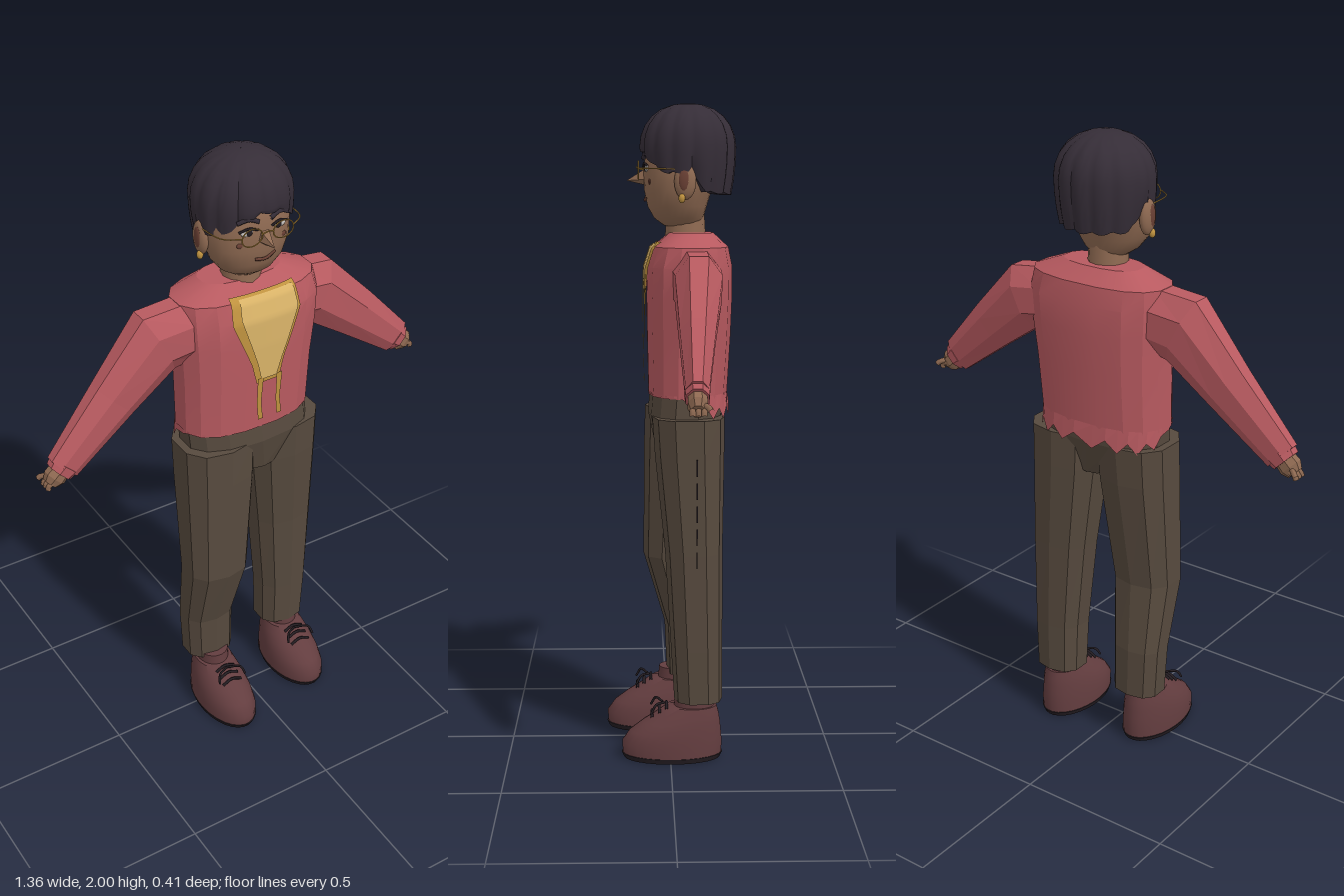
import * as THREE from 'three';
import { toCreasedNormals } from 'three/addons/utils/BufferGeometryUtils.js';

const mat = (name, color) => Object.assign(new THREE.MeshStandardMaterial({ color }), { name });
const M = {
  sweater: mat('sweater red', 0xb85a60), trousers: mat('trouser brown', 0x574a3e),
  skin: mat('skin', 0x8f6a52), hair: mat('hair black', 0x352d37),
  shoe: mat('shoe maroon', 0x633d3f), sole: mat('sole dark', 0x241d22),
  gold: mat('gold trim', 0xbf923f), shirt: mat('shirt yellow', 0xd9b368),
  white: mat('eye white', 0xc9c4c0), blush: mat('lip brown', 0x6a4034),
};
M.shirt.side = M.gold.side = M.hair.side = M.sweater.side = THREE.DoubleSide;

// Skin rings of points into a closed tube; crease 0 = faceted, null = smooth
function loft(rings, crease = 0, capped = true) {
  const n = rings[0].length, pos = rings.flat(2), idx = [];
  for (let i = 0; i < rings.length - 1; i++) for (let j = 0; j < n; j++) {
    const a = i * n + j, b = i * n + (j + 1) % n;
    idx.push(a, a + n, b, b, a + n, b + n);
  }
  if (capped) for (const [i, flip] of [[0, false], [rings.length - 1, true]]) {
    const c = pos.length / 3;
    for (let k = 0; k < 3; k++) pos.push(rings[i].reduce((s, p) => s + p[k], 0) / n);
    for (let j = 0; j < n; j++) {
      const a = i * n + j, b = i * n + (j + 1) % n;
      idx.push(c, ...(flip ? [b, a] : [a, b]));
    }
  }
  const g = new THREE.BufferGeometry();
  g.setAttribute('position', new THREE.Float32BufferAttribute(pos, 3));
  g.setIndex(idx);
  if (crease === null) { g.computeVertexNormals(); return g; }
  if (crease > 0) return toCreasedNormals(g, crease);
  const flat = g.toNonIndexed();
  flat.computeVertexNormals();
  return flat;
}
const pw = (v, p) => Math.sign(v) * Math.abs(v) ** p;
// Level ring from its bounds: [y, x0, x1, z0, z1]
const ring = ([y, x0, x1, z0, z1], n = 12, p = 0.8) => Array.from({ length: n }, (_, j) => {
  const a = (j + 0.5) / n * Math.PI * 2;
  return [(x0 + x1) / 2 + (x1 - x0) / 2 * pw(Math.cos(a), p), y, (z0 + z1) / 2 + (z1 - z0) / 2 * pw(Math.sin(a), p)];
});
// Piecewise linear lookup in rows sorted by their first value
function lookup(rows, t) {
  let i = 0;
  while (i < rows.length - 2 && t > rows[i + 1][0]) i++;
  const k = THREE.MathUtils.clamp((t - rows[i][0]) / (rows[i + 1][0] - rows[i][0]), 0, 1);
  return rows[i].map((v, c) => THREE.MathUtils.lerp(v, rows[i + 1][c], k));
}

const TORSO = [[1.12, -0.2, 0.24, -0.178, 0.066], [1.3, -0.2, 0.252, -0.188, 0.07], [1.42, -0.205, 0.268, -0.192, 0.072],
  [1.51, -0.21, 0.275, -0.192, 0.07], [1.57, -0.205, 0.262, -0.18, 0.05], [1.612, -0.115, 0.155, -0.135, 0.0]];
const torsoFront = (x, y) => {
  const [, x0, x1, z0, z1] = lookup(TORSO, y);
  const u = Math.min(1, Math.abs((x - (x0 + x1) / 2) / ((x1 - x0) / 2)));
  return (z0 + z1) / 2 + (z1 - z0) / 2 * (1 - u ** 2.5) ** 0.4;
};
// Thin cloth lying on the chest; rows are [y, x0, x1] from the bottom up
function cloth(rows, lift) {
  const g = new THREE.PlaneGeometry(1, 1, 10, 24), p = g.attributes.position;
  const y0 = rows[0][0], y1 = rows[rows.length - 1][0];
  for (let i = 0; i < p.count; i++) {
    const [y, a, b] = lookup(rows, THREE.MathUtils.lerp(y0, y1, p.getY(i) + 0.5));
    const x = THREE.MathUtils.lerp(a, b, p.getX(i) + 0.5);
    p.setXYZ(i, x, y, torsoFront(x, y) + lift);
  }
  g.computeVertexNormals();
  return g;
}
const tube = (pts, r, seg = 10) => new THREE.TubeGeometry(new THREE.CatmullRomCurve3(pts.map(p => new THREE.Vector3(...p))), seg, r, 5);

export function createModel() {
  const model = new THREE.Group();
  const add = (name, geo, material, pos = [0, 0, 0], scale = [1, 1, 1]) => {
    const m = new THREE.Mesh(geo, material);
    m.name = name;
    m.position.set(...pos);
    m.scale.set(...scale);
    model.add(m);
    return m;
  };
  const ball = new THREE.SphereGeometry(1, 16, 12);

  // Sweater body with a ragged hem hanging lower at the back
  add('sweaterBody', loft(TORSO.map(r => ring(r, 16)), 0.3), M.sweater);
  const hemTop = ring([1.13, -0.2, 0.24, -0.178, 0.066], 32);
  const hem = hemTop.map(([x, y, z], j) => {
    const back = THREE.MathUtils.smoothstep(-z, 0.0, 0.14);
    return [x, 1.125 - back * (j % 2 ? 0.07 : 0.035), z - back * 0.006];
  });
  add('sweaterHem', loft([hem, hemTop], 0, false), M.sweater);

  // Yellow shirt front, its gold edge and two hanging laces
  add('shirtTrim', cloth([[1.29, -0.005, 0.075], [1.36, -0.022, 0.092], [1.51, -0.082, 0.153], [1.585, -0.075, 0.146]], 0.006), M.gold);
  add('shirtFront', cloth([[1.305, 0.008, 0.062], [1.36, -0.004, 0.08], [1.52, -0.055, 0.142], [1.58, -0.05, 0.136]], 0.011), M.shirt);
  for (const x of [0.003, 0.07]) {
    add('lace', cloth([[1.16, x - 0.005, x + 0.012], [1.22, x - 0.01, x + 0.005], [1.31, x - 0.008, x + 0.012]], 0.012), M.gold);
  }

  // Sleeves, cuffs and hands: c = [x, y, z, half width, half depth] from shoulder to wrist
  const arm = (side, c) => {
    const dir = new THREE.Vector2(c[3][0] - c[1][0], c[3][1] - c[1][1]).normalize();
    const section = ([x, y, z, w, d], tilt = dir) => Array.from({ length: 8 }, (_, j) => {
      const a = (j + 0.5) / 8 * Math.PI * 2, k = Math.cos(a) * w * 1.07;
      return [x + tilt.y * k, y - tilt.x * k, z + Math.sin(a) * d * 1.07];
    });
    const flat = new THREE.Vector2(side, -0.15).normalize(), half = flat.clone().add(dir).normalize();
    const tilts = [flat, half, dir, dir];
    add(side > 0 ? 'leftSleeve' : 'rightSleeve', loft(c.map((r, i) => section(r, tilts[i]))), M.sweater);
    const e = c[3], at = t => [e[0] + dir.x * t, e[1] + dir.y * t, e[2]];
    add('cuff', loft([section([...at(-0.012), e[3] * 0.9, e[4] * 1.1]), section([...at(0.018), e[3] * 0.78, e[4]])]), M.sweater);
    add('hand', loft([section([...at(0.0), 0.032, 0.026]), section([...at(0.04), 0.036, 0.028]), section([...at(0.062), 0.024, 0.02])]), M.skin);
    const h = at(0.05);
    for (let i = 0; i < 3; i++) {
      const z = h[2] - 0.018 + i * 0.016;
      add('finger', tube([[h[0], h[1], z], [h[0] + side * 0.018, h[1] - 0.008, z], [h[0] + side * 0.022, h[1] - 0.02, z]], 0.009, 4), M.skin);
    }
    add('thumb', tube([[h[0] - side * 0.01, h[1] + 0.01, h[2]], [h[0] + side * 0.02, h[1] + 0.004, h[2] - 0.03], [h[0] + side * 0.03, h[1] - 0.005, h[2] - 0.036]], 0.009, 5), M.skin);
  };
  arm(-1, [[-0.16, 1.475, -0.06, 0.098, 0.075], [-0.272, 1.46, -0.063, 0.112, 0.07], [-0.42, 1.312, -0.06, 0.083, 0.052], [-0.602, 1.14, -0.05, 0.056, 0.035]]);
  arm(1, [[0.2, 1.47, -0.075, 0.098, 0.075], [0.3, 1.455, -0.08, 0.105, 0.07], [0.45, 1.325, -0.072, 0.08, 0.052], [0.612, 1.182, -0.065, 0.055, 0.033]]);

  // Trousers
  add('trouserSeat', loft([[0.94, -0.02, 0.115, -0.13, 0.04], [1.06, -0.19, 0.24, -0.164, 0.066], [1.135, -0.195, 0.236, -0.168, 0.06]].map(r => ring(r, 14))), M.trousers);
  add('rightTrouserLeg', loft([[0.185, -0.197, -0.03, -0.135, 0.005], [0.35, -0.205, -0.03, -0.135, 0.012], [0.58, -0.215, -0.003, -0.11, 0.08],
    [0.94, -0.216, 0.032, -0.155, 0.078], [1.065, -0.216, 0.04, -0.163, 0.074]].map(r => ring(r, 10))), M.trousers);
  add('leftTrouserLeg', loft([[0.185, 0.105, 0.268, -0.16, -0.012], [0.35, 0.1, 0.275, -0.16, -0.002], [0.65, 0.072, 0.282, -0.16, 0.016],
    [0.94, 0.036, 0.282, -0.165, 0.046], [1.06, 0.03, 0.282, -0.166, 0.054]].map(r => ring(r, 10))), M.trousers);
  for (let i = 0; i < 5; i++) add('sideSeam', new THREE.BoxGeometry(0.004, 0.05, 0.004), M.sole, [0.281, 0.64 + i * 0.07, -0.078]);

  // Shoes, soles, socks and laces
  for (const [side, x, z, len] of [['left', 0.19, 0, 1], ['right', -0.115, 0.045, 1.03]]) {
    const r = (y, z0, z1, h) => ring([y, x - h, x + h, z + z0 * len, z + z1 * len], 28, 1);
    add(side + 'Shoe', loft([r(0.012, -0.157, 0.147, 0.087), r(0.05, -0.16, 0.15, 0.087), r(0.085, -0.157, 0.125, 0.083), r(0.115, -0.154, 0.085, 0.077),
      r(0.14, -0.15, 0.045, 0.069), r(0.165, -0.143, 0.01, 0.06)], 0.9), M.shoe);
    add(side + 'Sole', loft([r(0, -0.153, 0.143, 0.084), r(0.016, -0.161, 0.151, 0.089)], 0.5), M.sole);
    add(side + 'Sock', loft([r(0.15, -0.135, -0.01, 0.052), r(0.2, -0.135, -0.015, 0.052)], 0.5), M.shoe);
    for (let i = 0; i < 3; i++) {
      const zz = z + 0.012 + i * 0.022, y = 0.172 - i * 0.013;
      add('shoelace', tube([[x - 0.035, y - 0.014, zz], [x, y, zz], [x + 0.035, y - 0.014, zz]], 0.005), M.sole);
    }
    for (const s of [-1, 1]) add('laceBow', tube([[x, 0.17, z + 0.02], [x + s * 0.04, 0.175, z + 0.045], [x + s * 0.05, 0.15, z + 0.06]], 0.004), M.sole);
  }

  // Neck and head
  const cx = 0.018;
  add('neck', new THREE.CylinderGeometry(0.058, 0.064, 0.1, 12), M.skin, [cx, 1.625, -0.05]);
  add('head', loft([[1.632, -0.035, 0.07, -0.09, 0.015], [1.655, -0.068, 0.104, -0.105, 0.046], [1.69, -0.095, 0.13, -0.115, 0.066], [1.74, -0.112, 0.148, -0.13, 0.077],
    [1.8, -0.118, 0.154, -0.15, 0.079], [1.87, -0.11, 0.146, -0.16, 0.07], [1.93, -0.07, 0.106, -0.13, 0.03]].map(r => ring(r, 28, 0.95)), null), M.skin);

  // Hair: a dome of swept locks with a raised fringe, longer at the back
  const edge = [[-1, 1.725], [-0.4, 1.73], [-0.05, 1.79], [0.45, 1.785], [0.75, 1.81], [1, 1.855]];
  const hairRow = (t, tuck = 1) => Array.from({ length: 96 }, (_, j) => {
    const a = j / 96 * Math.PI * 2, f = Math.sin(a);
    const lock = 1 - 0.06 * (1 - Math.abs(Math.sin(a * 7 + 0.6)) ** 0.6);
    const low = lookup(edge, f)[1] + (1 - Math.abs(Math.sin(a * 7 + 0.6))) * 0.008;
    const dome = Math.max(0, (t - 0.4) / 0.6) * Math.PI / 2;
    const y = t < 0.4 ? THREE.MathUtils.lerp(low, 1.87, t / 0.4) : 1.87 + Math.sin(dome) * 0.13;
    const r = Math.cos(dome) ** 0.85 * lock * tuck * (t < 0.4 ? 1 - 0.1 * (1 - t / 0.4) ** 2 * (f < 0 ? 1 : 0.25) : 1);
    return [0.022 + Math.cos(a) * 0.154 * r, y, -0.056 + f * (f > 0 ? 0.147 : 0.15) * r];
  });
  add('hair', loft([hairRow(0, 0.75), ...[0, 0.13, 0.26, 0.4, 0.5, 0.6, 0.7, 0.8, 0.9, 0.96, 0.999].map(t => hairRow(t))], 0.7, false), M.hair);

  // Face details, mirrored about the head centre
  for (const s of [-1, 1]) {
    add('ear', ball, M.skin, [cx + s * 0.137, 1.765, -0.045], [0.019, 0.055, 0.033]);
    add('innerEar', ball, M.blush, [cx + s * 0.15, 1.768, -0.042], [0.007, 0.034, 0.017]);
    add('earring', ball, M.gold, [cx + s * 0.147, 1.715, -0.035], [0.01, 0.014, 0.01]);
    add('eyeWhite', ball, M.white, [cx + s * 0.05, 1.806, 0.069], [0.025, 0.012, 0.006]);
    add('iris', ball, M.sole, [cx + s * 0.048, 1.806, 0.073], [0.01, 0.011, 0.005]);
    add('eyelid', tube([[cx + s * 0.022, 1.81, 0.078], [cx + s * 0.05, 1.82, 0.076], [cx + s * 0.08, 1.81, 0.066]], 0.004), M.sole);
    add('brow', tube([[cx + s * 0.02, 1.836, 0.078], [cx + s * 0.05, 1.848, 0.074], [cx + s * 0.083, 1.838, 0.062]], 0.007), M.hair);
    add('glassesRim', new THREE.TorusGeometry(0.034, 0.0022, 5, 24), M.gold, [cx + s * 0.052, 1.8, 0.094], [1, 0.8, 1]);
    add('glassesArm', tube([[cx + s * 0.086, 1.805, 0.094], [cx + s * 0.13, 1.803, 0.06], [cx + s * 0.145, 1.8, -0.04]], 0.002), M.gold);
    add('cheekMark', ball, M.blush, [cx + s * 0.07, 1.765, 0.06], [0.013, 0.009, 0.005]);
  }
  add('glassesBridge', tube([[cx - 0.019, 1.803, 0.094], [cx, 1.81, 0.1], [cx + 0.019, 1.803, 0.094]], 0.0022), M.gold);
  const nose = add('nose', toCreasedNormals(new THREE.ConeGeometry(0.024, 0.062, 5), 0.3), M.skin, [cx, 1.775, 0.1], [1, 1, 1.2]);
  nose.rotation.x = Math.PI / 2 + 0.2;
  add('mouth', tube([[cx - 0.03, 1.715, 0.071], [cx + 0.005, 1.71, 0.074], [cx + 0.04, 1.722, 0.069]], 0.005), M.blush);
  return model;
}
